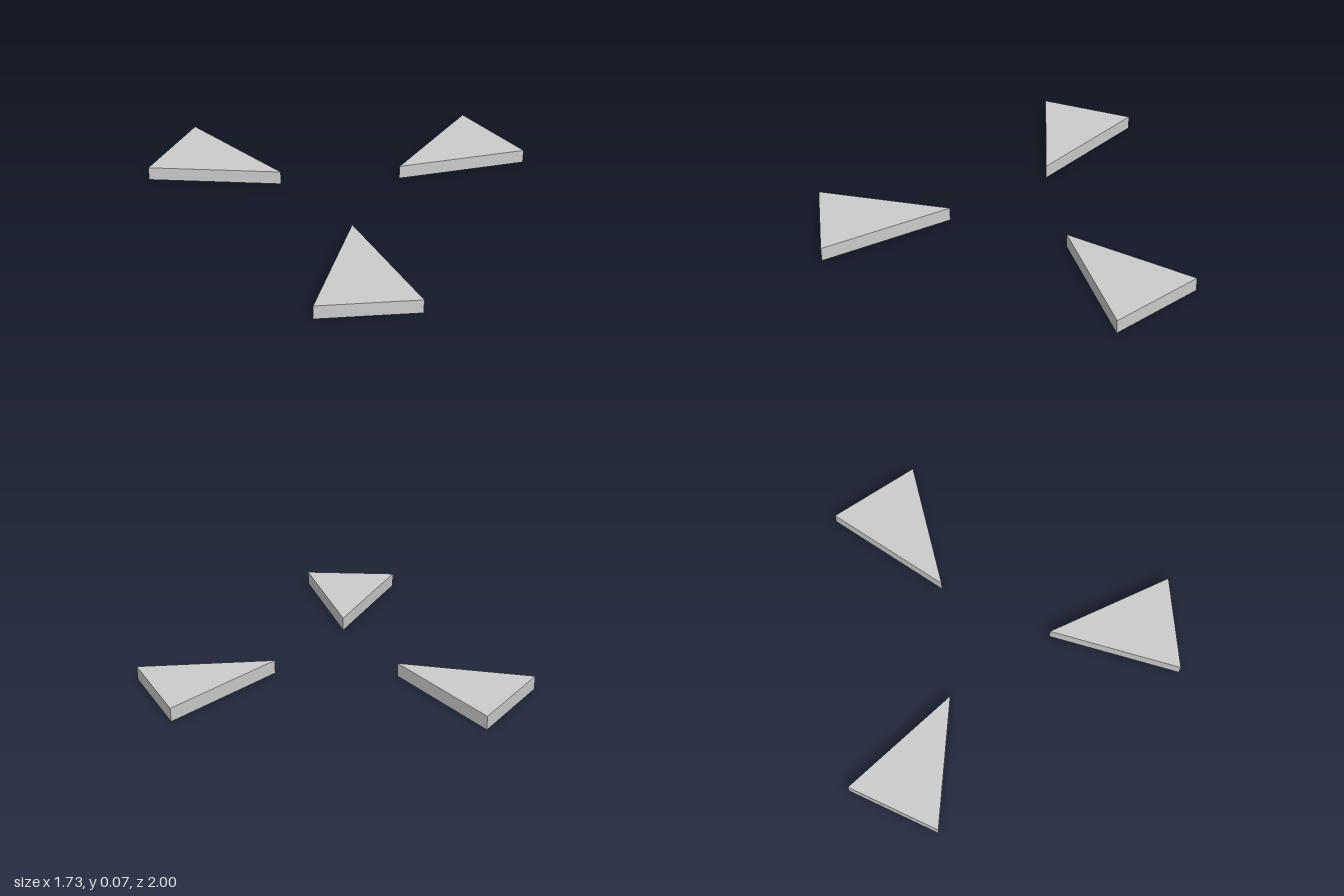
import * as THREE from 'three';

const HEIGHT = 0.072;
const INNER = 0.3608; // hub to wedge tip
const OUTER = 1.0103; // hub to wedge outer edge
const HALF_WIDTH = 0.25;
const HUB_X = 0.1443;

export function createModel() {
  const model = new THREE.Group();
  model.name = 'wedgeRing';
  const material = new THREE.MeshStandardMaterial({ color: 0xcccccc, flatShading: true });

  // Flat triangular wedge pointing at the hub
  const shape = new THREE.Shape([
    new THREE.Vector2(-INNER, 0),
    new THREE.Vector2(-OUTER, HALF_WIDTH),
    new THREE.Vector2(-OUTER, -HALF_WIDTH),
  ]);
  const geometry = new THREE.ExtrudeGeometry(shape, { depth: HEIGHT, bevelEnabled: false });
  geometry.rotateX(-Math.PI / 2);

  // Three wedges, a third of a turn apart
  for (let i = 0; i < 3; i++) {
    const wedge = new THREE.Mesh(geometry, material);
    wedge.name = `wedge${i + 1}`;
    wedge.position.x = HUB_X;
    wedge.rotation.y = (i * 2 * Math.PI) / 3;
    model.add(wedge);
  }
  return model;
}
